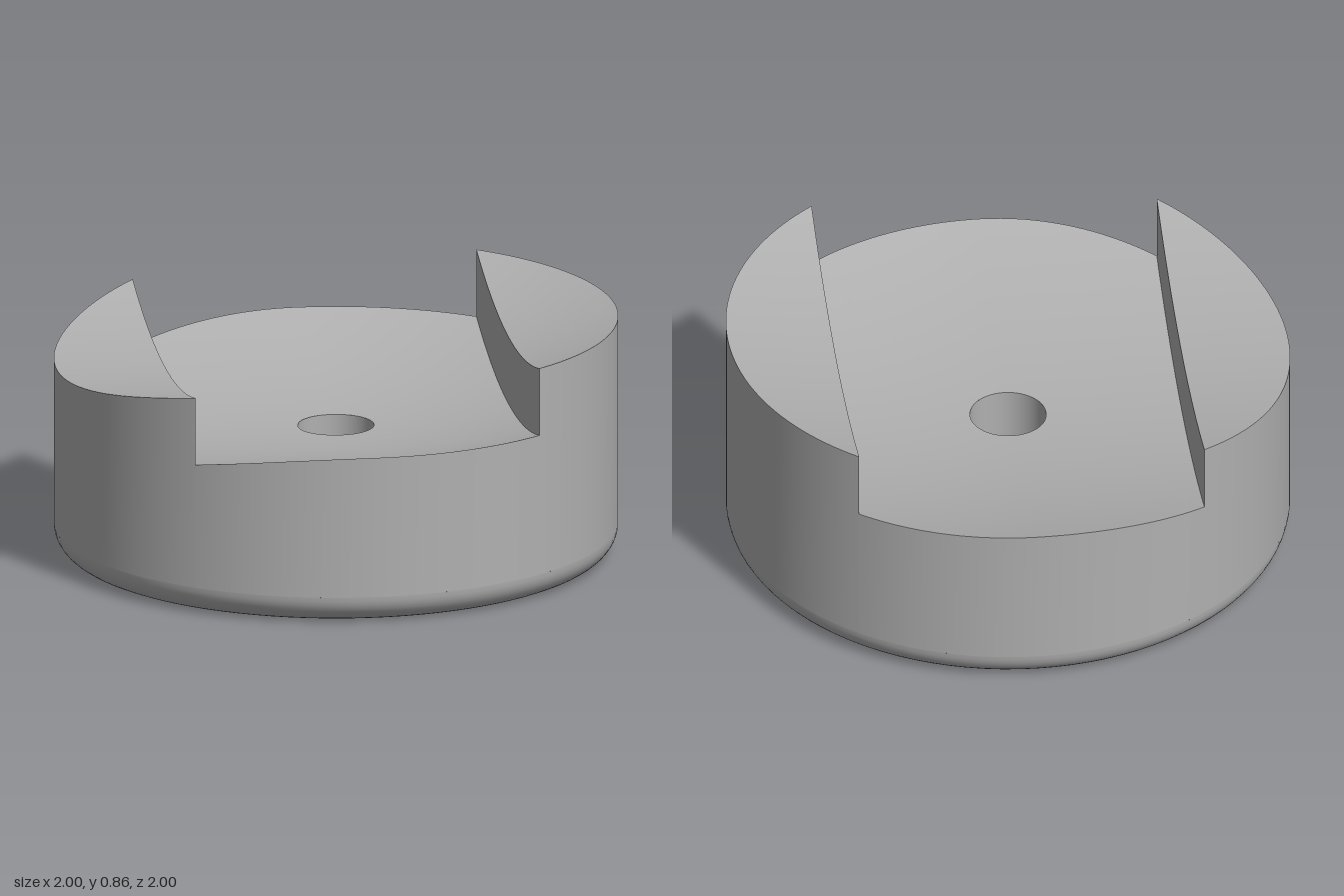
import * as THREE from 'three';

const STEP_X = 0.615;                    // half width of the channel
const CORNER = Math.acos(STEP_X);        // rim angle where the channel meets the rim
const STEP_Z = Math.sin(CORNER);
const BORE = 0.135, COUNTERBORE = 0.25, BORE_DEPTH = 0.24, FILLET = 0.1;
const SEG = 48;

// Concave seat: a trough along x on one half, a shallow bowl on the other
const sag = (x, z) => 0.158 * (z * z + Math.max(x, 0) ** 2);
const floorY = (x, z) => 0.454 + sag(x, z);
const ledgeY = (x, z) => 0.7 + sag(x, z);

// Grid surface from fn(u, v) -> [x, y, z]; it faces along dU x dV
function patch(fn, nu, nv) {
  const pos = [], idx = [];
  for (let i = 0; i <= nu; i++) {
    for (let j = 0; j <= nv; j++) pos.push(...fn(i / nu, j / nv));
  }
  for (let i = 0; i < nu; i++) {
    for (let j = 0; j < nv; j++) {
      const a = i * (nv + 1) + j, b = a + nv + 1;
      idx.push(a, b, b + 1, a, b + 1, a + 1);
    }
  }
  const g = new THREE.BufferGeometry();
  g.setAttribute('position', new THREE.Float32BufferAttribute(pos, 3));
  g.setIndex(idx);
  g.computeVertexNormals();
  return g;
}

export function createModel() {
  const group = new THREE.Group();
  const grey = new THREE.MeshStandardMaterial({ color: 0xb0b0b0 });
  grey.name = 'grey';
  const add = (name, geometry) => {
    const mesh = new THREE.Mesh(geometry, grey);
    mesh.name = name;
    group.add(mesh);
  };
  const lathe = (name, points) =>
    add(name, new THREE.LatheGeometry(points.map(([x, y]) => new THREE.Vector2(x, y)), 96));

  // Four rim arcs: the ledge sides and the open channel ends
  const arcs = [
    [-CORNER, CORNER, ledgeY], [CORNER, Math.PI - CORNER, floorY],
    [Math.PI - CORNER, Math.PI + CORNER, ledgeY], [Math.PI + CORNER, 2 * Math.PI - CORNER, floorY],
  ];
  for (const [from, to, topY] of arcs) {
    const angle = (u) => from + (to - from) * u;
    add('outerWall', patch((u, v) => {
      const x = Math.cos(angle(u)), z = Math.sin(angle(u));
      return [x, THREE.MathUtils.lerp(topY(x, z), FILLET, v), z];
    }, SEG, 1));
    // Channel floor between the bore and the ledges or rim
    add('channelFloor', patch((u, v) => {
      const c = Math.cos(angle(u)), s = Math.sin(angle(u));
      const outer = Math.min(1, STEP_X / Math.max(Math.abs(c), 1e-6));
      const r = BORE + (outer - BORE) * v;
      return [r * c, floorY(r * c, r * s), r * s];
    }, SEG, 16));
  }

  // Raised ledges and their step walls on both sides
  for (const side of [1, -1]) {
    add('ledgeTop', patch((u, v) => {
      const t = CORNER * (1 - u);
      const x = side * Math.cos(t), z = side * Math.sin(t) * (1 - 2 * v);
      return [x, ledgeY(x, z), z];
    }, SEG / 2, SEG));
    add('stepWall', patch((u, v) => {
      const x = side * STEP_X, z = side * STEP_Z * (2 * u - 1);
      return [x, THREE.MathUtils.lerp(floorY(x, z), ledgeY(x, z), v), z];
    }, SEG, 1));
  }

  // Bore, counterbore, underside and rounded bottom edge
  lathe('boreWall', [[BORE, floorY(0, BORE)], [BORE, BORE_DEPTH]]);
  lathe('counterboreCeiling', [[BORE, BORE_DEPTH], [COUNTERBORE, BORE_DEPTH]]);
  lathe('counterboreWall', [[COUNTERBORE, BORE_DEPTH], [COUNTERBORE, 0]]);
  lathe('underside', [[COUNTERBORE, 0], [1 - FILLET, 0]]);
  const round = [];
  for (let i = 0; i <= 10; i++) {
    const t = (i / 10) * Math.PI / 2;
    round.push([1 - FILLET + FILLET * Math.sin(t), FILLET - FILLET * Math.cos(t)]);
  }
  lathe('roundedBottomEdge', round);

  return group;
}
